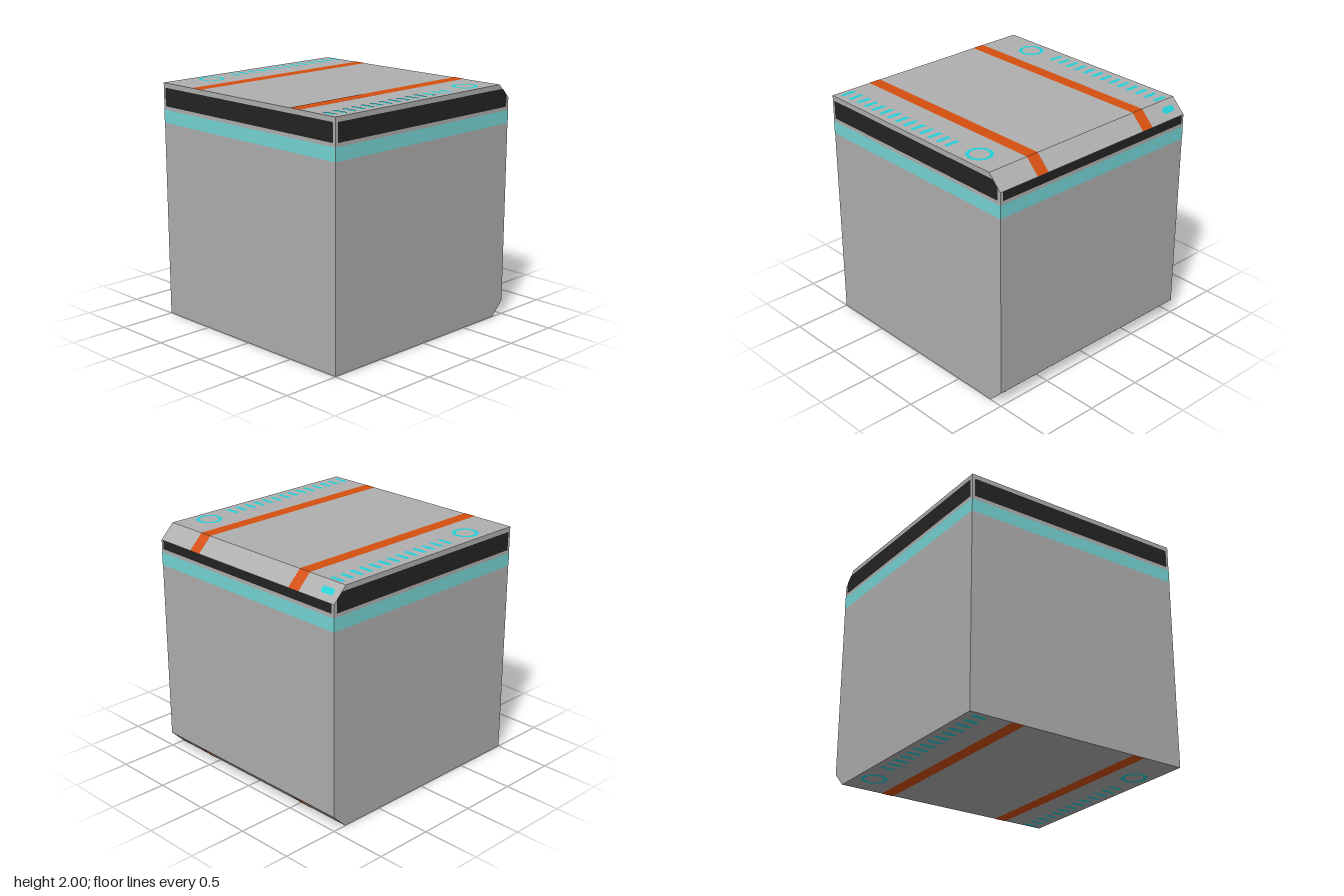
import * as THREE from 'three';

const mat = (name, color) => new THREE.MeshStandardMaterial({ name, color });
const LIFT = 0.002; // height of painted plates above the body
const C = 0.12; // chamfer size on the two back edges

// Flat shapes
const poly = (pts) => new THREE.Shape(pts.map(([x, y]) => new THREE.Vector2(x, y)));
const rect = (x0, x1, y0, y1) => poly([[x0, y0], [x1, y0], [x1, y1], [x0, y1]]);
const ring = (x, y, outer, inner) => {
  const s = new THREE.Shape().absarc(x, y, outer, 0, Math.PI * 2);
  s.holes.push(new THREE.Path().absarc(x, y, inner, 0, Math.PI * 2, true));
  return s;
};
const roundRect = (x0, x1, y0, y1, r) => {
  const s = new THREE.Shape();
  s.absarc(x1 - r, y1 - r, r, 0, Math.PI / 2);
  s.absarc(x0 + r, y1 - r, r, Math.PI / 2, Math.PI);
  s.absarc(x0 + r, y0 + r, r, Math.PI, Math.PI * 1.5);
  s.absarc(x1 - r, y0 + r, r, Math.PI * 1.5, Math.PI * 2);
  return s;
};

function paint(group, name, shapes, material) {
  const mesh = new THREE.Mesh(new THREE.ShapeGeometry(shapes, 20), material);
  mesh.name = name;
  mesh.position.z = LIFT;
  group.add(mesh);
}

function face(name, pos, rx, ry) {
  const g = new THREE.Group();
  g.name = name;
  g.position.set(...pos);
  g.rotation.set(rx, ry, 0);
  return g;
}

export function createModel() {
  const grey = mat('body grey', 0xb0b0b0);
  const black = mat('panel black', 0x242424);
  const teal = mat('band teal', 0x77d7d7);
  const cyan = mat('marking cyan', 0x24cfd7);
  const orange = mat('stripe orange', 0xd54f0f);
  const model = new THREE.Group();
  model.name = 'chamferedCube';

  // Body: side profile (z, y) extruded across x
  const profile = poly([[1, 0], [1, 2], [-1 + C, 2], [-1, 2 - C], [-1, C], [-1 + C, 0]]);
  const bodyGeo = new THREE.ExtrudeGeometry(profile, { depth: 2, bevelEnabled: false });
  bodyGeo.translate(0, 0, -1).rotateY(-Math.PI / 2);
  const body = new THREE.Mesh(bodyGeo, grey);
  body.name = 'body';
  model.add(body);

  // Upright faces: teal band and black panel
  const front = face('frontFace', [0, 0, 1], 0, 0);
  const back = face('backFace', [0, 0, -1], 0, Math.PI);
  paint(front, 'blackPanel', roundRect(-0.977, 0.977, 1.805, 1.96, 0.012), black);
  paint(back, 'blackPanel', rect(-0.977, 0.977, 1.805, 2 - C), black);
  const sides = [1, -1].map((s) => {
    const g = face(s > 0 ? 'leftFace' : 'rightFace', [s, 0, 0], 0, s * Math.PI / 2);
    // Panel corner is cut where it meets the chamfer
    const pts = [[-0.977, 1.805], [0.972, 1.805], [0.972, 1.908], [0.92, 1.96], [-0.977, 1.96]];
    paint(g, 'blackPanel', poly(pts.map(([x, y]) => [x * s, y])), black);
    return g;
  });
  for (const g of [front, back, ...sides]) {
    paint(g, 'tealBand', rect(-1, 1, 1.665, 1.775), teal);
    model.add(g);
  }

  // Top markings; the underside repeats them turned half round the z axis
  const slant = C * Math.SQRT2;
  const stripes = (y0, y1) => [-0.573, 0.573].map((x) => rect(x - 0.055, x + 0.055, y0, y1));
  const dash = (x, y, h) => roundRect(x - 0.065, x + 0.065, y - h / 2, y + h / 2, h * 0.45);
  for (const under of [false, true]) {
    const half = new THREE.Group();
    half.name = under ? 'undersideMarkings' : 'topMarkings';

    const flat = face('flatFace', [0, 2, 0], -Math.PI / 2, 0);
    paint(flat, 'orangeStripes', stripes(-1, 1 - C), orange);
    const dashes = [];
    for (let i = 0; i < 14; i++) {
      const z = 0.338 - i * 0.0983;
      if (i < 13) dashes.push(dash(-0.877, -z, 0.038));
      dashes.push(dash(0.884, z, 0.038));
    }
    paint(flat, 'cyanDashes', dashes, cyan);
    paint(flat, 'cyanRings', [ring(-0.85, -0.614, 0.107, 0.077), ring(0.852, 0.614, 0.107, 0.077)], cyan);

    const chamfer = face('chamferFace', [0, 2 - C / 2, -1 + C / 2], -Math.PI * 0.75, 0);
    paint(chamfer, 'orangeStripes', stripes(-slant / 2, slant / 2), orange);
    paint(chamfer, 'cyanDash', dash(-0.877, 0, 0.055), cyan);

    half.add(flat, chamfer);
    if (under) {
      half.rotation.z = Math.PI;
      half.position.y = 2;
    }
    model.add(half);
  }
  return model;
}
